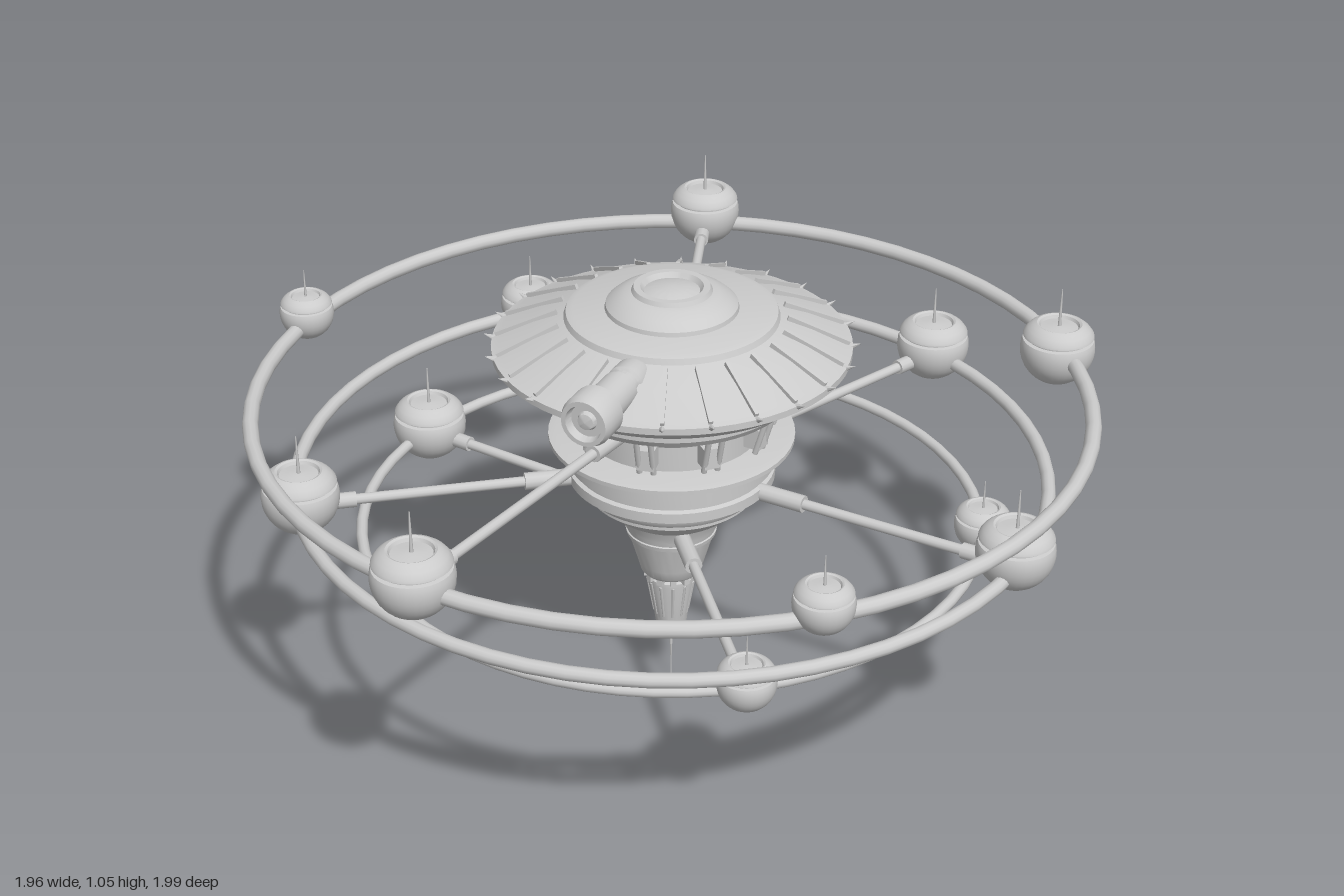
import * as THREE from 'three';
import { toCreasedNormals } from 'three/addons/utils/BufferGeometryUtils.js';

const CX = 0.02, CZ = -0.025; // central axis
const grey = new THREE.MeshStandardMaterial({ color: 0xcccccc });

function add(parent, name, geometry) {
  const mesh = new THREE.Mesh(geometry, grey);
  mesh.name = name;
  parent.add(mesh);
  return mesh;
}

// Turned part; profile is [radius, height] from bottom to top
function turned(profile, segments = 48) {
  const pts = profile.map(([r, y]) => new THREE.Vector2(r, y));
  return toCreasedNormals(new THREE.LatheGeometry(pts, segments), 0.5);
}

// Repeat a part around the vertical axis; build() places it on the +z side
function around(parent, name, count, build, offset = 0) {
  for (let i = 0; i < count; i++) {
    const g = new THREE.Group();
    g.name = name;
    g.rotation.y = offset + (i / count) * Math.PI * 2;
    build(g);
    parent.add(g);
  }
}

// Rod from a to b
function rod(parent, name, a, b, r1, r2 = r1, sides = 12) {
  const d = b.clone().sub(a);
  const m = add(parent, name, new THREE.CylinderGeometry(r2, r1, d.length(), sides));
  m.position.copy(a).addScaledVector(d, 0.5);
  m.quaternion.setFromUnitVectors(new THREE.Vector3(0, 1, 0), d.normalize());
  return m;
}

function podProfile() {
  const p = [];
  for (let a = -90; a <= 10; a += 10) {
    const t = THREE.MathUtils.degToRad(a);
    p.push([Math.max(0, Math.cos(t)), Math.sin(t)]);
  }
  return p.concat([[0.95, 0.27], [0.84, 0.29], [0.84, 0.36], [0.95, 0.38], [0.93, 0.45], [0.83, 0.58],
    [0.7, 0.68], [0.6, 0.72], [0.54, 0.69], [0.5, 0.61], [0.28, 0.63], [0.12, 0.65], [0, 0.65]]);
}

export function createModel() {
  const model = new THREE.Group();
  const core = new THREE.Group();
  core.name = 'core';
  core.position.set(CX, 0, CZ);
  model.add(core);

  // Saucer with its underside bowl
  add(core, 'saucer', turned([[0, 0.78], [0.24, 0.78], [0.275, 0.795], [0.285, 0.81], [0.285, 0.835], [0.3, 0.84],
    [0.35, 0.858], [0.385, 0.885], [0.39, 0.893], [0.402, 0.895], [0.402, 0.91], [0.385, 0.915], [0.31, 0.95],
    [0.24, 0.975], [0.235, 0.988], [0.22, 0.993], [0, 1.0]], 64));
  add(core, 'crownRing', turned([[0.15, 0.99], [0.147, 1.005], [0.13, 1.02], [0.105, 1.033], [0.09, 1.036],
    [0.085, 1.046], [0.07, 1.046], [0.062, 1.035], [0.04, 1.042], [0, 1.046]]));

  // Ribs down the saucer slope, each ending in a rim tooth
  around(core, 'saucerRib', 24, g => {
    const rib = add(g, 'rib', new THREE.BoxGeometry(0.009, 0.012, 0.15));
    rib.position.set(0, 0.945, 0.325);
    rib.rotation.x = 0.41;
    const tooth = add(g, 'rimTooth', new THREE.ConeGeometry(0.013, 0.045, 6));
    tooth.position.set(0, 0.908, 0.4);
    tooth.rotation.x = 1.2;
  }, 0.13);

  // Neck, drum and tapering lower hull
  add(core, 'neck', turned([[0.2, 0.66], [0.2, 0.75], [0.225, 0.79]]));
  add(core, 'collar', turned([[0, 0.664], [0.235, 0.664], [0.27, 0.672], [0.28, 0.676], [0.28, 0.686],
    [0.262, 0.69], [0, 0.69]]));
  add(core, 'drum', turned([[0, 0.545], [0.2, 0.545], [0.21, 0.56], [0.212, 0.575], [0.237, 0.578], [0.237, 0.602],
    [0.227, 0.606], [0.227, 0.614], [0.237, 0.618], [0.237, 0.67]]));
  add(core, 'lowerHull', turned([[0, 0.315], [0.066, 0.315], [0.072, 0.322], [0.078, 0.345], [0.1, 0.42],
    [0.104, 0.42], [0.106, 0.43], [0.103, 0.432], [0.106, 0.445], [0.11, 0.447], [0.113, 0.458], [0.12, 0.475],
    [0.145, 0.492], [0.18, 0.522], [0.192, 0.532], [0.192, 0.546], [0, 0.546]]));
  add(core, 'nozzle', turned([[0, 0.18], [0.026, 0.18], [0.028, 0.172], [0.037, 0.172], [0.04, 0.195],
    [0.056, 0.29], [0.056, 0.3], [0.045, 0.303], [0.045, 0.318]], 24));
  around(core, 'nozzleBlock', 12, g => {
    add(g, 'block', new THREE.BoxGeometry(0.014, 0.018, 0.02)).position.set(0, 0.308, 0.054);
    rod(g, 'nozzleRib', new THREE.Vector3(0, 0.29, 0.055), new THREE.Vector3(0, 0.2, 0.04), 0.004, 0.003, 6);
  });
  rod(core, 'lowerMast', new THREE.Vector3(0, 0.18, 0), new THREE.Vector3(0, 0.1, 0), 0.006, 0.004, 8);
  rod(core, 'lowerAntenna', new THREE.Vector3(0, 0.12, 0), new THREE.Vector3(0, 0, 0), 0.0025, 0.001, 6);

  // Brackets hanging between saucer and collar
  around(core, 'bracket', 10, g => {
    add(g, 'bracketBody', new THREE.BoxGeometry(0.04, 0.05, 0.04)).position.set(0, 0.735, 0.22);
    for (const s of [-1, 1]) {
      rod(g, 'bracketLeg', new THREE.Vector3(s * 0.016, 0.79, 0.255),
        new THREE.Vector3(s * 0.016, 0.7, 0.228), 0.007, 0.007, 8);
    }
  }, 0.2);

  // Telescope on the front of the saucer
  const scope = new THREE.Group();
  scope.name = 'telescope';
  scope.position.set(0.045, 0.945, 0.2);
  scope.rotation.x = Math.PI / 2;
  model.add(scope);
  add(scope, 'telescopeBarrel', turned([[0, 0], [0.035, 0], [0.042, 0.02], [0.042, 0.06], [0.036, 0.065],
    [0.036, 0.08], [0.042, 0.085], [0.042, 0.165], [0.054, 0.18], [0.058, 0.185], [0.058, 0.24], [0.052, 0.255],
    [0.042, 0.255], [0.038, 0.235], [0.022, 0.235], [0.018, 0.245], [0, 0.25]], 24));
  add(model, 'telescopeMount', new THREE.BoxGeometry(0.04, 0.05, 0.1)).position.set(0.045, 0.92, 0.29);

  // Three orbital rings: [height, radius, tube radius]
  const rings = [[0.768, 0.94, 0.018], [0.588, 0.855, 0.016], [0.46, 0.712, 0.013]];
  for (const [y, r, t] of rings) {
    const ring = add(model, 'orbitalRing', new THREE.TorusGeometry(r, t, 12, 64));
    ring.position.set(CX, y, CZ);
    ring.rotation.x = Math.PI / 2;
  }

  // Pods: [x, z, centre height, radius, ring index, has spoke]
  const pods = [
    [-0.31, -0.915, 0.798, 0.087, 0, true], [0.73, -0.62, 0.775, 0.087, 0, false],
    [0.67, 0.65, 0.797, 0.064, 0, false], [-0.11, 0.9, 0.787, 0.088, 0, true],
    [-0.92, 0.012, 0.793, 0.064, 0, false], [0.36, -0.81, 0.613, 0.088, 1, true],
    [0.865, 0.038, 0.626, 0.087, 1, true], [-0.65, 0.488, 0.613, 0.088, 1, true],
    [-0.64, -0.58, 0.612, 0.076, 1, false], [0.69, -0.27, 0.477, 0.065, 2, false],
    [0.46, 0.537, 0.477, 0.065, 2, true], [-0.68, -0.125, 0.482, 0.088, 2, true],
  ];
  const podGeo = turned(podProfile(), 32);
  const rootRadius = [0.18, 0.21, 0.1];
  for (const [x, z, y, r, k, spoke] of pods) {
    const pod = new THREE.Group();
    pod.name = 'pod';
    pod.position.set(x, y, z);
    pod.scale.setScalar(r);
    model.add(pod);
    add(pod, 'podBody', podGeo);
    rod(pod, 'podAntenna', new THREE.Vector3(0, 0.62, 0), new THREE.Vector3(0, 1.7, 0), 0.05, 0.015, 6);
    if (!spoke) continue;
    // Spoke with a socket at the hull and a sleeve at the pod
    const h = rings[k][0];
    const dir = new THREE.Vector3(x - CX, 0, z - CZ);
    const len = dir.length();
    dir.normalize();
    const at = d => new THREE.Vector3(CX, h, CZ).addScaledVector(dir, d);
    rod(model, 'spoke', at(rootRadius[k]), at(len), 0.012);
    rod(model, 'spokeSocket', at(rootRadius[k]), at(rootRadius[k] + 0.13), 0.02);
    rod(model, 'spokeSleeve', at(len - r - 0.035), at(len), 0.018);
  }
  return model;
}
